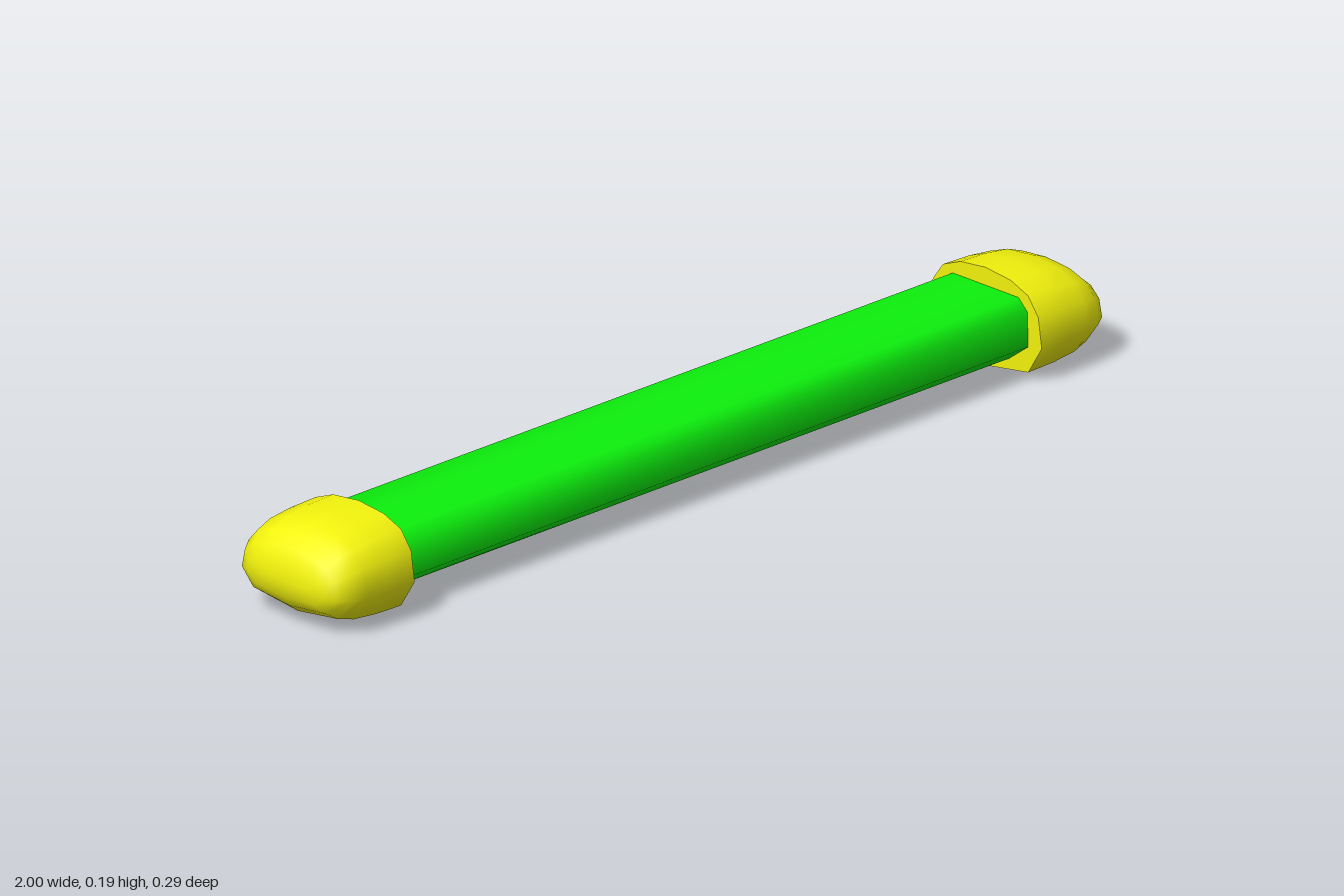
import * as THREE from 'three';
import { toCreasedNormals } from 'three/addons/utils/BufferGeometryUtils.js';

// Mirrors half a cross-section of [z, y] points (top centre to bottom centre) into a closed ring
function closeSection(half) {
  return [...half, ...half.slice(1, -1).reverse().map(([z, y]) => [-z, y])];
}

// Lofts a section along x; each row is [x, height scale, depth scale] about the centre height
function loft(section, rows, centreY) {
  const n = section.length;
  const pos = [];
  const index = [];
  for (const [x, sy, sz] of rows) {
    for (const [z, y] of section) pos.push(x, centreY + (y - centreY) * sy, z * sz);
  }
  const last = (rows.length - 1) * n;
  const startCentre = pos.length / 3;
  pos.push(rows[0][0], centreY, 0, rows[rows.length - 1][0], centreY, 0);
  for (let j = 0; j < n; j++) {
    const k = (j + 1) % n;
    for (let r = 0; r < last; r += n) {
      index.push(r + j, r + k, r + n + j, r + k, r + n + k, r + n + j);
    }
    index.push(startCentre, k, j, startCentre + 1, last + j, last + k);
  }
  const geometry = new THREE.BufferGeometry();
  geometry.setAttribute('position', new THREE.Float32BufferAttribute(pos, 3));
  geometry.setIndex(index);
  return toCreasedNormals(geometry, 1.2);
}

export function createModel() {
  const group = new THREE.Group();
  const green = new THREE.MeshStandardMaterial({ color: 0x0df20d });
  const yellow = new THREE.MeshStandardMaterial({ color: 0xf2f20d });

  // Long bar with a flat top and rounded lower edges
  const barSection = closeSection([
    [0, 0.16], [0.085, 0.16], [0.108, 0.138], [0.11, 0.07], [0.06, 0.033], [0, 0.03],
  ]);
  const bar = new THREE.Mesh(loft(barSection, [[-0.81, 1, 1], [0.81, 1, 1]], 0.09), green);
  bar.name = 'bar';
  group.add(bar);

  // Rounded caps closing both ends
  const capSection = closeSection([
    [0, 0.195], [0.065, 0.188], [0.11, 0.17], [0.136, 0.135], [0.145, 0.076], [0.11, 0.02], [0, 0.003],
  ]);
  const capRows = [
    [0.805, 1, 1], [0.87, 0.98, 0.995], [0.925, 0.91, 0.98], [0.96, 0.78, 0.94],
    [0.983, 0.58, 0.84], [0.995, 0.36, 0.68], [1, 0.12, 0.4],
  ];
  const capGeometry = loft(capSection, capRows, 0.09);
  for (const side of [1, -1]) {
    const cap = new THREE.Mesh(capGeometry, yellow);
    cap.name = side > 0 ? 'leftCap' : 'rightCap';
    if (side < 0) cap.rotation.y = Math.PI;
    group.add(cap);
  }
  return group;
}
